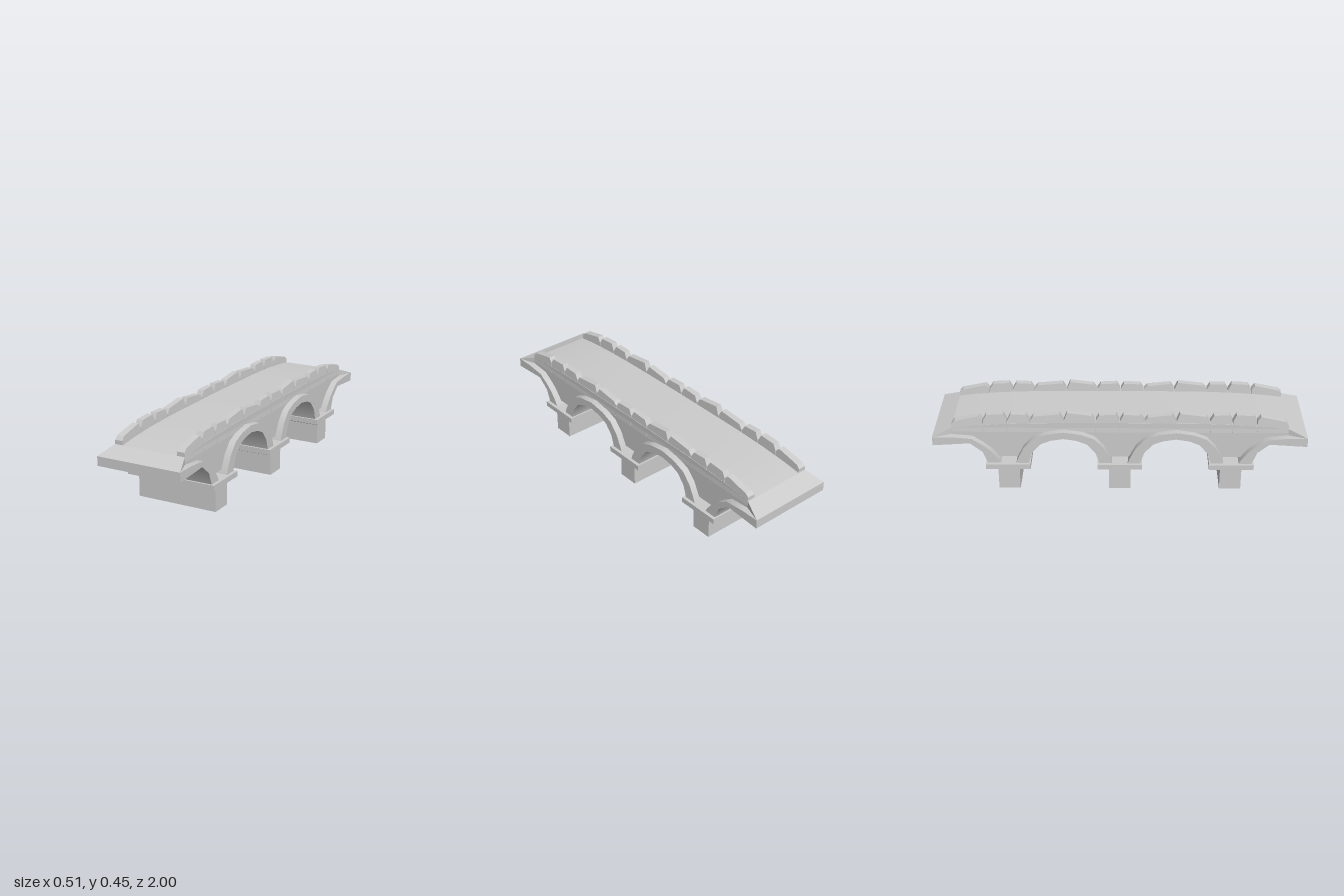
import * as THREE from 'three';
import { toCreasedNormals } from 'three/addons/utils/BufferGeometryUtils.js';

const material = new THREE.MeshStandardMaterial({ color: 0xcccccc, side: THREE.DoubleSide });

// Extrudes a [z, y] outline across x, centred on x = 0
function profile(points, width, crease = 0.9) {
  const shape = new THREE.Shape(points.map(([z, y]) => new THREE.Vector2(z, y)));
  const geo = new THREE.ExtrudeGeometry(shape, { depth: width, bevelEnabled: false });
  geo.translate(0, 0, -width / 2).rotateY(-Math.PI / 2);
  return toCreasedNormals(geo, crease);
}

// Box whose vertices are moved by a rule
function reshape(geo, rule) {
  const p = geo.attributes.position;
  const v = new THREE.Vector3();
  for (let i = 0; i < p.count; i++) {
    rule(v.fromBufferAttribute(p, i));
    p.setXYZ(i, v.x, v.y, v.z);
  }
  geo.computeVertexNormals();
  return geo;
}

// Half outlines of an arch ring, from foot to crown: [distance from centre, y]
const OUTER = [[0.257, 0.167], [0.247, 0.195], [0.215, 0.26], [0.165, 0.315], [0.095, 0.343], [0, 0.357]];
const INNER = [[0.19, 0.167], [0.17, 0.23], [0.125, 0.283], [0.07, 0.306], [0, 0.317]];
// Half arches at both ends, from foot to tip
const END_OUTER = [[0.64, 0.167], [0.655, 0.195], [0.69, 0.24], [0.73, 0.275], [0.79, 0.315], [0.9, 0.325], [1, 0.325]];
const END_INNER = [[0.71, 0.167], [0.735, 0.235], [0.8, 0.288], [1, 0.275]];
const PIERS = [-0.6, 0, 0.6];

const mirrorZ = (pts) => pts.map(([z, y]) => [-z, y]);
// Full curve from -z foot to +z foot
const full = (half) => [...mirrorZ(half), ...half.slice(0, -1).reverse()];

export function createModel() {
  const group = new THREE.Group();
  const add = (name, geo, x = 0, y = 0, z = 0) => {
    const mesh = new THREE.Mesh(geo, material);
    mesh.name = name;
    mesh.position.set(x, y, z);
    group.add(mesh);
    return mesh;
  };

  // Piers with overhanging, under-bevelled caps
  for (const z of PIERS) {
    add('pier', new THREE.BoxGeometry(0.456, 0.13, 0.116), 0, 0.065, z);
    add('pierCap', new THREE.BoxGeometry(0.51, 0.029, 0.24), 0, 0.1525, z);
    const bevel = reshape(new THREE.BoxGeometry(0.51, 0.011, 0.24), (v) => {
      if (v.y < 0) { v.x *= 0.92; v.z *= 0.79; }
    });
    add('pierCapBevel', bevel, 0, 0.1325, z);
  }

  // Arch rings and vaults
  const ring = profile([...full(OUTER), ...full(INNER).reverse()], 0.474);
  for (const z of [-0.3, 0.3]) add('arch', ring, 0, 0, z);
  const endRing = [...END_OUTER, ...END_INNER.slice().reverse()];
  add('frontHalfArch', profile(endRing, 0.474));
  add('backHalfArch', profile(mirrorZ(endRing), 0.474));

  // Deck and spandrel walls: top line, then the underside following the arches
  const halfTop = [[0.9, 0.363], [0.8, 0.375], [0.65, 0.386], [0.45, 0.393], [0, 0.396]];
  const sunk = (pts) => pts.map(([z, y]) => [z, y - 0.008]);
  const endUnder = sunk(END_OUTER.slice(1, -1));
  const underArch = sunk(full(OUTER.slice(1)));
  const body = [
    ...full(halfTop),
    ...endUnder.slice().reverse(),
    ...underArch.map(([z, y]) => [z + 0.3, y]).reverse(),
    ...underArch.map(([z, y]) => [z - 0.3, y]).reverse(),
    ...mirrorZ(endUnder),
  ];
  add('deckAndWalls', profile(body, 0.402, 0.6));

  // Sloping ramps that widen to the full arch width at the tips
  for (const s of [1, -1]) {
    const ramp = reshape(new THREE.BoxGeometry(0.474, 0.04, 0.1), (v) => {
      const tip = v.z * s > 0;
      if (!tip) v.x *= 0.402 / 0.474;
      v.y = v.y < 0 ? 0.3 : tip ? 0.325 : 0.363;
    });
    add(s > 0 ? 'frontRamp' : 'backRamp', ramp, 0, 0, s * 0.95);
  }

  // Parapet stones: shared joints, with slightly uneven tops [start y, end y]
  const joints = [-0.9, -0.73, -0.6, -0.48, -0.3, -0.13, 0, 0.13, 0.3, 0.48, 0.6, 0.73, 0.9];
  const tops = [[0.4, 0.428], [0.436, 0.441], [0.441, 0.437], [0.428, 0.441], [0.449, 0.433], [0.436, 0.441],
    [0.44, 0.436], [0.425, 0.44], [0.447, 0.43], [0.437, 0.439], [0.441, 0.436], [0.43, 0.402]];
  for (const side of [-1, 1]) {
    tops.forEach(([ya, yb], i) => {
      const a = joints[i] + 0.002;
      const b = joints[i + 1] - 0.002;
      const na = i === 0 ? 0.385 : 0.406;
      const nb = i === tops.length - 1 ? 0.385 : 0.406;
      const lift = side < 0 ? 0.003 : -0.001;
      const stone = profile(
        [[a, 0.34], [b, 0.34], [b, nb], [b - 0.018, yb + lift], [a + 0.018, ya + lift], [a, na]], 0.046, 0.1);
      // Lean the outer face inward and narrow the top
      reshape(stone, (v) => {
        const t = Math.max(0, (v.y - 0.34) / 0.1);
        v.x = v.x * side > 0 ? side * (0.203 - 0.008 * t) : side * (0.154 + 0.007 * t);
      });
      add('parapetStone', stone);
    });
  }
  return group;
}
